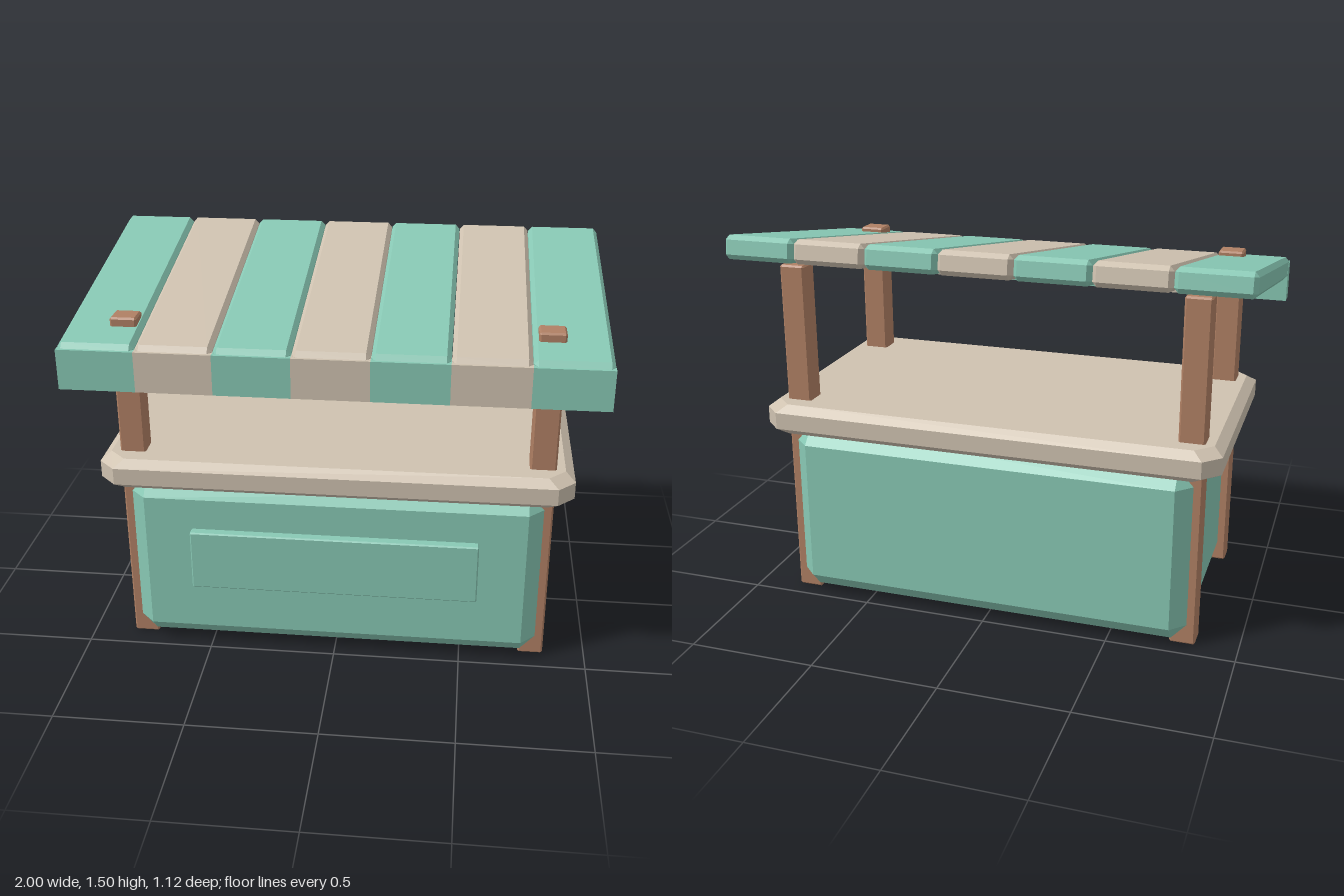
import * as THREE from 'three';
import { ConvexGeometry } from 'three/addons/geometries/ConvexGeometry.js';

const mint = new THREE.MeshStandardMaterial({ name: 'mint paint', color: 0x88c8b4 });
const cream = new THREE.MeshStandardMaterial({ name: 'cream paint', color: 0xcfc2b0 });
const wood = new THREE.MeshStandardMaterial({ name: 'brown wood', color: 0xb08064 });

// Box with every edge and corner cut; c is the cut along [x, y, z]
function chamferBox(w, h, d, c) {
  const [cx, cy, cz] = c;
  const points = [];
  for (const sx of [-1, 1]) for (const sy of [-1, 1]) for (const sz of [-1, 1]) {
    const x = w / 2, y = h / 2, z = d / 2;
    points.push(
      new THREE.Vector3(sx * x, sy * (y - cy), sz * (z - cz)),
      new THREE.Vector3(sx * (x - cx), sy * y, sz * (z - cz)),
      new THREE.Vector3(sx * (x - cx), sy * (y - cy), sz * z),
    );
  }
  return new ConvexGeometry(points);
}

// Slab with cut plan corners, narrowed at its top and bottom rims
function slab(w, h, d, corner, rim, inset) {
  const points = [];
  for (const [y, i] of [[-h / 2, inset], [-h / 2 + rim, 0], [h / 2 - rim, 0], [h / 2, inset]]) {
    const x = w / 2 - i, z = d / 2 - i;
    for (const sx of [-1, 1]) for (const sz of [-1, 1]) {
      points.push(
        new THREE.Vector3(sx * x, y, sz * (z - corner)),
        new THREE.Vector3(sx * (x - corner), y, sz * z),
      );
    }
  }
  return new ConvexGeometry(points);
}

export function createModel() {
  const group = new THREE.Group();
  group.name = 'marketStall';

  function add(name, geometry, material, x, y, z, parent = group) {
    const mesh = new THREE.Mesh(geometry, material);
    mesh.name = name;
    mesh.position.set(x, y, z);
    parent.add(mesh);
    return mesh;
  }

  // Cabinet, its front panel and the counter top
  add('cabinet', chamferBox(1.6, 0.7, 0.96, [0.058, 0.064, 0.058]), mint, 0, 0.37, -0.01);
  add('frontPanel', chamferBox(1.12, 0.245, 0.06, [0.005, 0.005, 0.005]), mint, 0, 0.407, 0.476);
  add('counterTop', slab(1.81, 0.122, 1.045, 0.065, 0.028, 0.036), cream, 0, 0.765, -0.008);

  // Four posts
  const postGeometry = chamferBox(0.1, 1.37, 0.09, [0.007, 0.007, 0.007]);
  for (const side of [-1, 1]) {
    const sideName = side > 0 ? 'left' : 'right';
    add(sideName + 'FrontPost', postGeometry, wood, side * 0.785, 0.685, 0.366);
    add(sideName + 'BackPost', postGeometry, wood, side * 0.785, 0.685, -0.385);
  }

  // Sloping striped roof with a hanging valance along the front
  const roof = new THREE.Group();
  roof.name = 'roof';
  roof.position.set(0, 1.361, -0.004);
  roof.rotation.x = Math.atan(0.172);
  group.add(roof);

  const count = 7;
  const width = 2 / count;
  const plankGeometry = chamferBox(width - 0.002, 0.092, 1.112, [0.016, 0.018, 0.02]);
  const valanceGeometry = new THREE.BoxGeometry(width, 0.155, 0.07);
  for (let i = 0; i < count; i++) {
    const x = -1 + (i + 0.5) * width;
    const material = i % 2 ? cream : mint;
    add('roofPlank' + (i + 1), plankGeometry, material, x, 0, 0, roof);
    add('valance' + (i + 1), valanceGeometry, material, x, 1.2175, 0.525);
  }

  return group;
}
